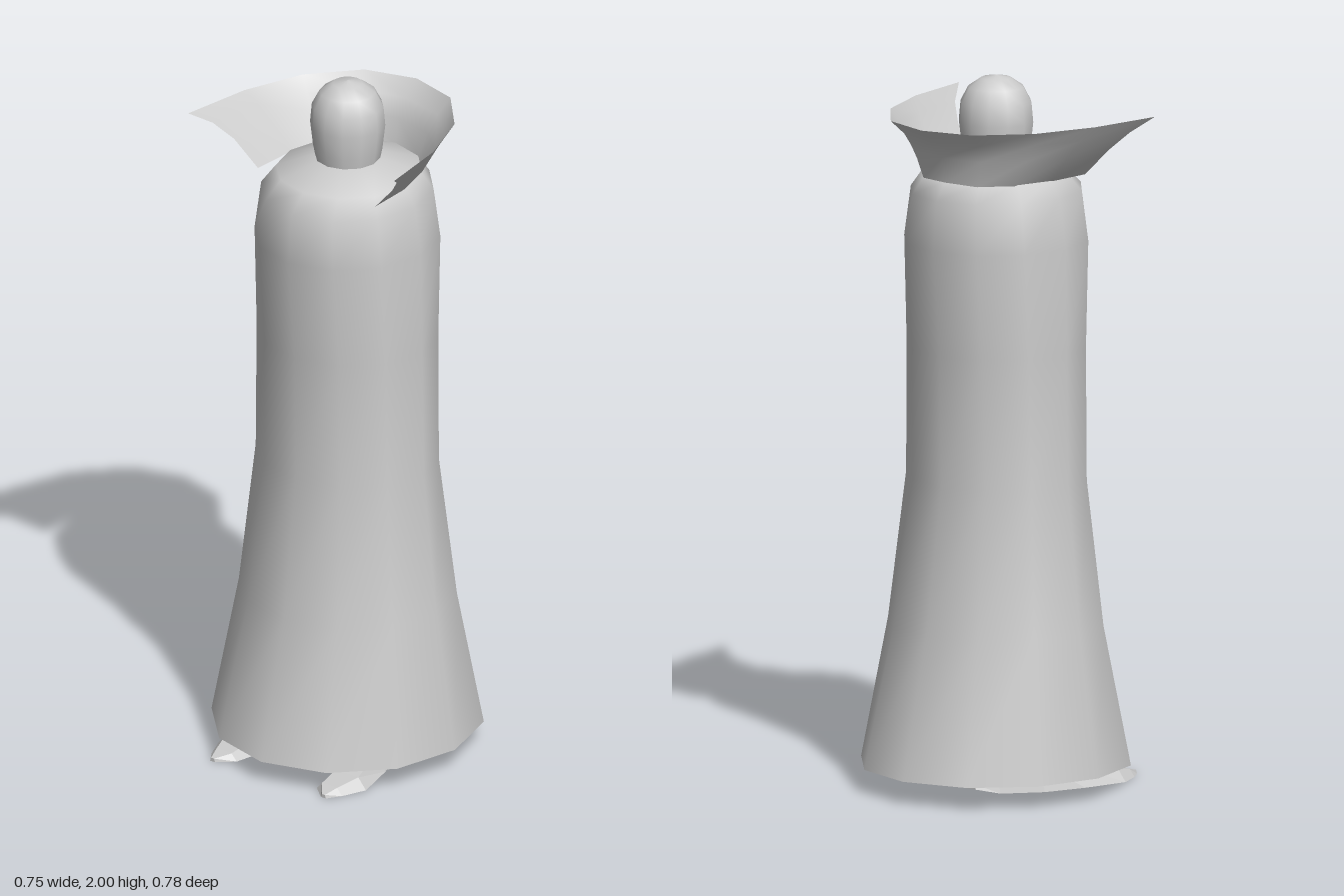
import * as THREE from 'three';

const material = () => new THREE.MeshStandardMaterial({ color: 0xcccccc });

// Skins a series of cross-sections, each a list of [x, y, z] points
function loft(sections, { closed = true, caps = false } = {}) {
  const n = sections[0].length;
  const index = [];
  for (let i = 0; i < sections.length - 1; i++) {
    for (let j = 0; j < (closed ? n : n - 1); j++) {
      const k = (j + 1) % n;
      const a = i * n + j, b = i * n + k, c = a + n, d = b + n;
      index.push(a, b, d, a, d, c);
    }
  }
  if (caps) {
    const last = (sections.length - 1) * n;
    for (let j = 1; j < n - 1; j++) {
      index.push(0, j + 1, j, last, last + j, last + j + 1);
    }
  }
  const geometry = new THREE.BufferGeometry();
  geometry.setAttribute('position', new THREE.Float32BufferAttribute(sections.flat(2), 3));
  geometry.setIndex(index);
  geometry.computeVertexNormals();
  return geometry;
}

function add(group, name, geometry, mat = material()) {
  const mesh = new THREE.Mesh(geometry, mat);
  mesh.name = name;
  group.add(mesh);
  return mesh;
}

// Twelve-sided ring with separate front and back depths
function robeRing([y, halfWidth, front, back]) {
  return Array.from({ length: 12 }, (_, i) => {
    const a = (i / 12) * Math.PI * 2;
    const c = Math.cos(a);
    return [Math.sin(a) * halfWidth, y, c * (c > 0 ? front : back)];
  });
}

function collarGeometry() {
  // Half outline from front corner to back: base x, base z, rim x, rim z
  const half = [
    [0.205, 0.14, 0.36, 0.255],
    [0.2, 0, 0.33, 0.04],
    [0.17, -0.115, 0.265, -0.14],
    [0.1, -0.19, 0.15, -0.27],
  ];
  const mirrored = half.map(([bx, bz, rx, rz]) => [-bx, bz, -rx, rz]).reverse();
  const outline = [...half, [0, -0.215, 0, -0.312], ...mirrored];
  // Height and sideways / depth share of the flare
  const rows = [[1.725, 0, 0], [1.8, 0.46, 0.14], [1.85, 0.75, 0.47], [1.89, 1, 1]];
  return loft(rows.map(([y, fx, fz]) => outline.map(([bx, bz, rx, rz]) => [
    bx + (rx - bx) * fx, y, bz + (rz - bz) * fz,
  ])), { closed: false });
}

function footGeometry(side) {
  // Heel to toe: z, inner x, outer x, sole y, top y
  const stations = [
    [-0.21, 0.07, 0.11, 0.03, 0.045],
    [-0.14, 0.06, 0.14, 0.012, 0.07],
    [0, 0.07, 0.18, 0, 0.075],
    [0.12, 0.09, 0.225, 0, 0.055],
    [0.25, 0.125, 0.257, 0, 0.032],
    [0.32, 0.14, 0.228, 0, 0.02],
    [0.36, 0.185, 0.202, 0, 0.01],
  ];
  return loft(stations.map(([z, xi, xo, y0, y1]) => {
    const inset = (xo - xi) * 0.2;
    const section = [
      [side * xi, y0, z], [side * xo, y0, z],
      [side * (xo - inset), y1, z], [side * (xi + inset), y1, z],
    ];
    return side > 0 ? section : section.reverse();
  }), { caps: true });
}

export function createModel() {
  const model = new THREE.Group();
  model.name = 'cloakedFigure';

  // Robe from hem to shoulders: y, half width, front depth, back depth
  add(model, 'robe', loft([
    [0.065, 0.375, 0.39, 0.39],
    [0.46, 0.31, 0.288, 0.292],
    [0.87, 0.266, 0.235, 0.228],
    [1.24, 0.26, 0.24, 0.236],
    [1.54, 0.256, 0.268, 0.264],
    [1.68, 0.235, 0.255, 0.25],
    [1.73, 0.2, 0.2, 0.215],
    [1.77, 0.09, 0.09, 0.09],
    [1.775, 0.001, 0.001, 0.001],
  ].map(robeRing)));

  // Flat underside of the robe
  const hem = new THREE.CircleGeometry(0.375, 12).rotateX(Math.PI / 2).scale(1, 1, 1.04);
  add(model, 'robeUnderside', hem).position.y = 0.065;

  // Flared collar, open at the front
  const collarMaterial = material();
  collarMaterial.side = THREE.DoubleSide;
  add(model, 'collar', collarGeometry(), collarMaterial);

  // Head with rounded crown
  const profile = [
    [0.085, 1.74], [0.097, 1.8], [0.105, 1.87], [0.1, 1.925],
    [0.078, 1.967], [0.042, 1.992], [0, 2],
  ].map(([r, y]) => new THREE.Vector2(r, y));
  add(model, 'head', new THREE.LatheGeometry(profile, 12));

  // Pointed shoes, toes turned out
  for (const [name, side] of [['leftFoot', 1], ['rightFoot', -1]]) {
    const mat = material();
    mat.flatShading = true;
    add(model, name, footGeometry(side), mat);
  }
  return model;
}
